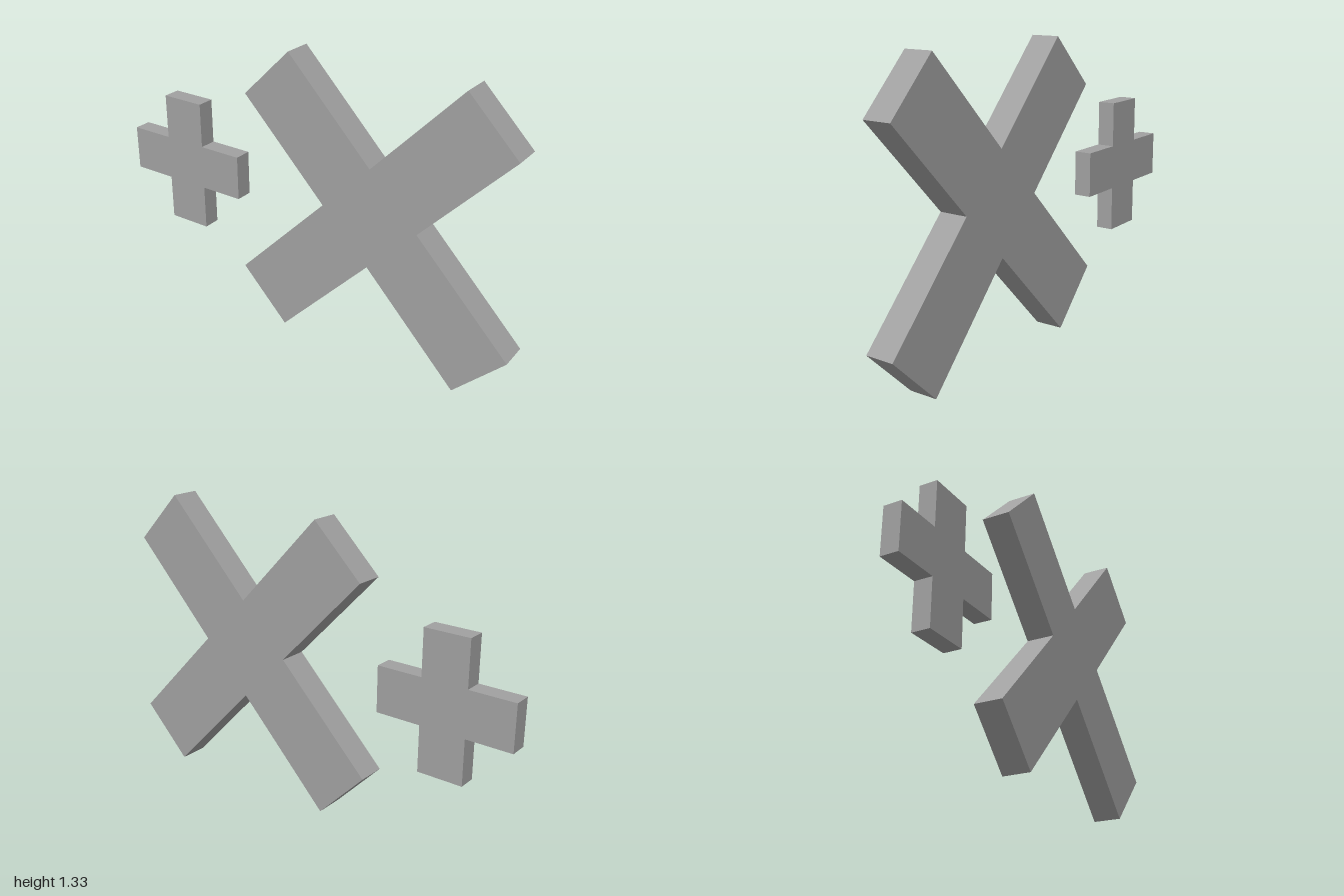
import * as THREE from 'three';

// Extrudes a closed outline between two z positions
function slab(name, points, zBack, zFront, material) {
  const shape = new THREE.Shape(points.map(([x, y]) => new THREE.Vector2(x, y)));
  const geometry = new THREE.ExtrudeGeometry(shape, { depth: zFront - zBack, bevelEnabled: false });
  geometry.translate(0, 0, zBack);
  const mesh = new THREE.Mesh(geometry, material);
  mesh.name = name;
  return mesh;
}

export function createModel() {
  const grey = new THREE.MeshStandardMaterial({ color: 0xa0a0a0 });
  grey.name = 'grey';
  const group = new THREE.Group();
  group.name = 'crosses';

  // Small upright cross: one arm corner trio turned through four quarters
  const arm = 0.312, half = 0.104;
  const plus = [];
  for (let i = 0; i < 4; i++) {
    const c = [1, 0, -1, 0][i], s = [0, 1, 0, -1][i];
    for (const [x, y] of [[arm, -half], [arm, half], [half, half]]) {
      plus.push([c * x - s * y, s * x + c * y]);
    }
  }
  const small = slab('smallUprightCross', plus, -0.043, 0.038, grey);
  small.position.set(-0.688, 0.661, 0);
  group.add(small);

  // Large diagonal cross, its lower arms slightly longer
  const diagonal = [
    [-0.1, 0], [0.337, 0.452], [0.77, 0], [1, 0.232],
    [0.565, 0.68], [0.965, 1.1], [0.74, 1.328], [0.337, 0.908],
    [-0.065, 1.325], [-0.295, 1.098], [0.11, 0.68], [-0.328, 0.235],
  ];
  group.add(slab('largeDiagonalCross', diagonal, -0.065, 0.065, grey));

  return group;
}
